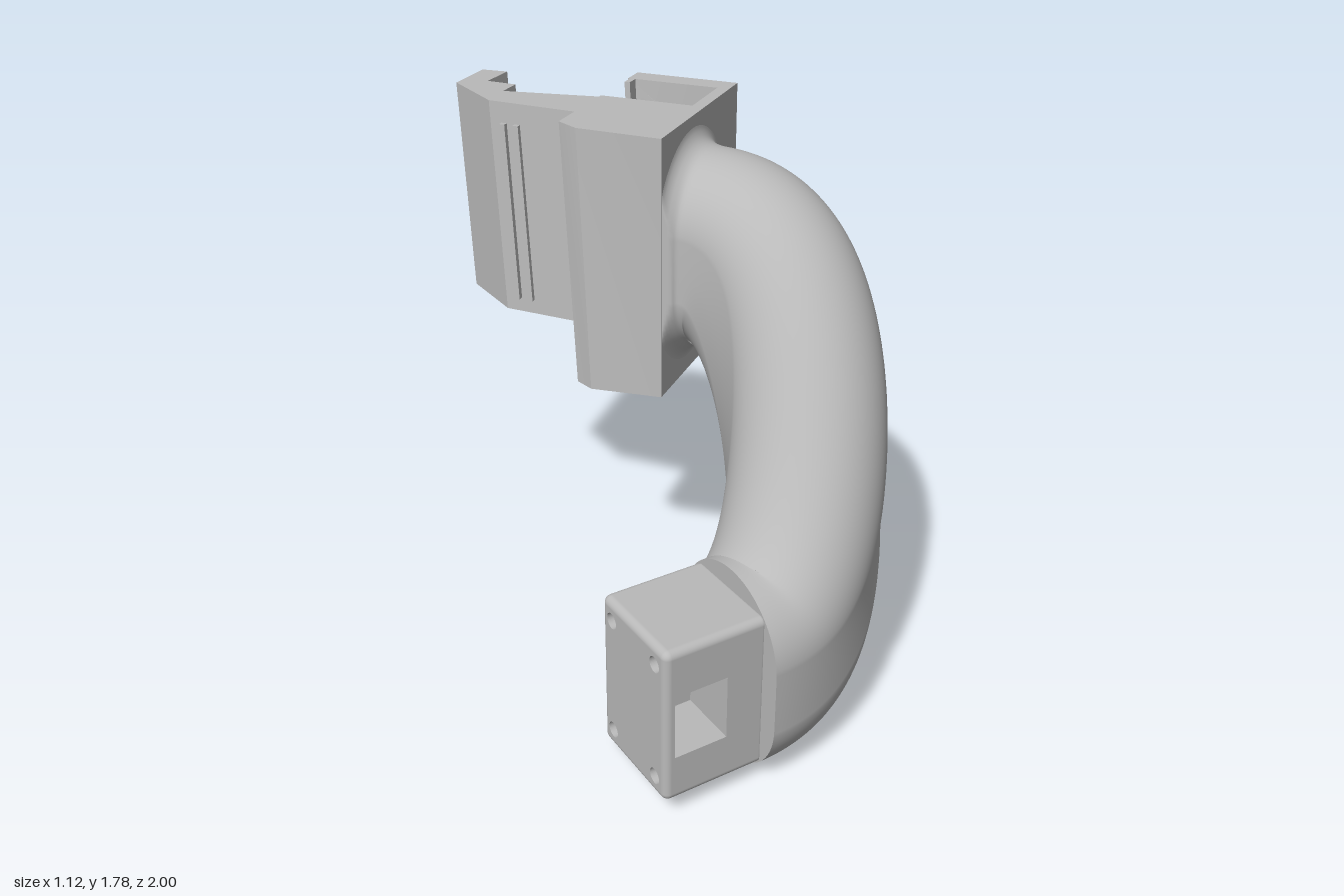
import * as THREE from 'three';
import { toCreasedNormals } from 'three/addons/utils/BufferGeometryUtils.js';
import { RoundedBoxGeometry } from 'three/addons/geometries/RoundedBoxGeometry.js';

const TURN = 0.635; // heading of the clamp end
const TOP = 1.78;

export function createModel() {
  const model = new THREE.Group();
  model.name = 'bentArmMount';
  const grey = new THREE.MeshStandardMaterial({ color: 0xbababa });
  grey.name = 'grey';

  const add = (name, geometry, parent = model) => {
    const mesh = new THREE.Mesh(geometry, grey);
    mesh.name = name;
    parent.add(mesh);
    return mesh;
  };
  const polygon = (pts) => new THREE.Shape(pts.map(([x, y]) => new THREE.Vector2(x, y)));
  const rect = (x0, y0, x1, y1) => polygon([[x0, y0], [x1, y0], [x1, y1], [x0, y1]]);
  const circle = (x, y, r) => new THREE.Path().absarc(x, y, r, 0, Math.PI * 2, true);
  const extrude = (shape, depth) =>
    new THREE.ExtrudeGeometry(shape, { depth, bevelEnabled: false, curveSegments: 24 });

  // ---- Curved tube: stadium section swept round a rising arc ----
  const HALF_W = 0.25, STRAIGHT = 0.09, SIDES = 96, STEPS = 96;
  const ARC_R = 0.53, SWEEP = Math.PI / 2 + TURN, FACE_GAP = 0.033, FILLET = 0.075;
  const section = (t, grow) => [
    (HALF_W + grow) * Math.cos(t),
    (HALF_W + grow) * Math.sin(t) + Math.sign(Math.round(Math.sin(t) * 1e6)) * STRAIGHT,
  ];
  const pos = [], index = [];
  const ring = (s, beyond) => {
    const a = Math.PI / 2 - s * SWEEP;
    const rise = s ** 3 * (6 * s * s - 15 * s + 10);
    const phi = Math.atan(30 * (s * (1 - s)) ** 2 / (ARC_R * SWEEP));
    const n = new THREE.Vector3(Math.cos(a), 0, Math.sin(a));
    const tan = new THREE.Vector3(Math.sin(a) * Math.cos(phi), Math.sin(phi), -Math.cos(a) * Math.cos(phi));
    const up = n.clone().cross(tan);
    const c = new THREE.Vector3(-0.225 + ARC_R * n.x, 0.34 + rise, 0.22 + ARC_R * n.z).addScaledVector(tan, beyond);
    // fillet flare towards the clamp face, trimmed at the edge of the block
    const toFace = (1 - s) * ARC_R * SWEEP + FACE_GAP - beyond;
    const f = THREE.MathUtils.clamp(1 - toFace / FILLET, 0, 1);
    const grow = FILLET * (1 - Math.sqrt(1 - f * f));
    for (let j = 0; j < SIDES; j++) {
      const [u, v] = section(j / SIDES * Math.PI * 2, grow);
      const p = c.clone().addScaledVector(n, Math.max(u, -0.262)).addScaledVector(up, v);
      pos.push(p.x, p.y, p.z);
    }
  };
  for (let i = 0; i <= STEPS; i++) ring(i / STEPS, 0);
  for (const b of [0.01, 0.018, 0.025, 0.03, FACE_GAP]) ring(1, b);
  // small drain hole: leave out a patch of faces low on the outer bend
  const drain = new THREE.Vector3(0.11, 0.14, 0.865), probe = new THREE.Vector3();
  let nearest = 0, best = Infinity;
  for (let k = 0; k < pos.length / 3; k++) {
    const d = probe.fromArray(pos, k * 3).distanceTo(drain);
    if (d < best) { best = d; nearest = k; }
  }
  const holeRing = Math.floor(nearest / SIDES), holeSide = nearest % SIDES;
  const rings = pos.length / 3 / SIDES;
  for (let i = 0; i < rings - 1; i++) {
    for (let j = 0; j < SIDES; j++) {
      if (Math.abs(i - holeRing) <= 1 && Math.abs(j - holeSide) <= 1) continue;
      const a = i * SIDES + j, b = i * SIDES + (j + 1) % SIDES;
      index.push(a, a + SIDES, b, b, a + SIDES, b + SIDES);
    }
  }
  const tube = new THREE.BufferGeometry();
  tube.setAttribute('position', new THREE.Float32BufferAttribute(pos, 3));
  tube.setIndex(index);
  tube.computeVertexNormals();
  add('curvedTube', tube);

  // flat end of the tube around the connector
  const capPts = [];
  for (let j = 0; j < SIDES; j++) capPts.push(section(j / SIDES * Math.PI * 2, 0));
  const cap = add('tubeEndCap', new THREE.ShapeGeometry(polygon(capPts)));
  cap.rotation.y = -Math.PI / 2;
  cap.position.set(-0.225, 0.34, 0.75);

  // ---- Connector plug: rounded shell with pierced panels ----
  const plug = new THREE.Group();
  plug.name = 'connectorPlug';
  plug.position.set(-0.385, 0.34, 0.75);
  model.add(plug);
  const W = 0.36, H = 0.54, D = 0.36, R = 0.025;
  const rounded = new RoundedBoxGeometry(W, H, D, 4, R);
  const shellSource = rounded.index ? rounded.toNonIndexed() : rounded;
  const sp = shellSource.attributes.position, sn = shellSource.attributes.normal;
  const keepP = [], keepN = [];
  for (let i = 0; i < sp.count; i += 3) {
    const tri = [i, i + 1, i + 2];
    const flatZ = tri.every((k) => Math.abs(sp.getZ(k)) > D / 2 - 1e-5);
    const flatX = tri.every((k) => sp.getX(k) < -W / 2 + 1e-5);
    if (flatZ || flatX) continue;
    for (const k of tri) {
      keepP.push(sp.getX(k), sp.getY(k), sp.getZ(k));
      keepN.push(sn.getX(k), sn.getY(k), sn.getZ(k));
    }
  }
  const shell = new THREE.BufferGeometry();
  shell.setAttribute('position', new THREE.Float32BufferAttribute(keepP, 3));
  shell.setAttribute('normal', new THREE.Float32BufferAttribute(keepN, 3));
  add('plugShell', shell, plug);

  const panel = () => rect(-W / 2 + R, -H / 2 + R, W / 2 - R, H / 2 - R);
  const front = panel();
  front.holes.push(rect(-0.145, -0.11, 0.035, 0.11)); // square nut pocket
  add('plugFront', extrude(front, 0.2), plug).position.z = D / 2 - 0.2;
  const rear = panel();
  rear.holes.push(circle(-0.055, 0, 0.064)); // bolt hole
  add('plugRear', toCreasedNormals(extrude(rear, 0.16), 0.6), plug).position.z = -D / 2;
  const end = rect(-D / 2 + R, -H / 2 + R, D / 2 - R, H / 2 - R);
  for (const z of [-1, 1]) for (const y of [-1, 1]) end.holes.push(circle(z * 0.122, y * 0.205, 0.026));
  const endMesh = add('plugScrewFace', extrude(end, R), plug);
  endMesh.rotation.y = -Math.PI / 2;
  endMesh.position.x = -W / 2 + R;

  // ---- Clamp: built square, then turned and leaned back ----
  const clamp = new THREE.Group();
  clamp.name = 'clamp';
  model.add(clamp);
  const place = (name, source) => {
    const g = source.index ? source.toNonIndexed() : source;
    const p = g.attributes.position, c = Math.cos(TURN), s = Math.sin(TURN);
    for (let i = 0; i < p.count; i++) {
      const x = p.getX(i), y = p.getY(i), z = p.getZ(i);
      const lean = 0.089 * (TOP - y) * THREE.MathUtils.clamp(-z / 0.36, 0, 1);
      p.setXYZ(i, x * c + z * s, y, -x * s + z * c + lean);
    }
    g.deleteAttribute('normal');
    g.computeVertexNormals();
    add(name, toCreasedNormals(g, 0.5), clamp);
  };
  const plan = (name, pts, y0, y1) =>
    place(name, extrude(polygon(pts.map(([x, z]) => [x, -z])), y1 - y0).rotateX(-Math.PI / 2).translate(0, y0, 0));
  const box = (name, x0, x1, y0, y1, z0, z1) =>
    place(name, new THREE.BoxGeometry(x1 - x0, y1 - y0, z1 - z0)
      .translate((x0 + x1) / 2, (y0 + y1) / 2, (z0 + z1) / 2));

  // main block, front and rear walls of the open cavity
  plan('clampBody', [[-0.048, 0.013], [0.33, 0.013], [0.33, -0.36], [0.003, -0.36], [-0.042, -0.28]], 0.89, TOP);
  box('cavityFrontWall', 0.33, 0.566, 1.07, TOP, -0.03, 0.013);
  box('cavityRearWall', 0.33, 0.485, 1.07, 1.66, -0.36, -0.23);
  box('cavityPost', 0.4, 0.47, 1.07, 1.6, -0.2, -0.09);
  box('cavityLip', 0.517, 0.566, 1.07, TOP, -0.355, -0.335);

  // underside with a skewed chamfer
  place('clampUnderside', extrude(polygon([[0.2, 0.89], [0.34, 0.89], [0.49, 1.032], [0.566, 1.032], [0.566, 1.07], [0.2, 1.07]]), 0.37)
    .translate(0, 0, -0.358)
    .applyMatrix4(new THREE.Matrix4().makeShear(0, 0, 0, 0, -0.22, 0)));

  // side plate with the oval window
  const side = rect(-0.013, 1.03, 0.362, TOP);
  const oval = new THREE.Path();
  oval.absarc(0.168, 1.452, 0.158, 0, Math.PI, false);
  oval.absarc(0.168, 1.218, 0.158, Math.PI, Math.PI * 2, false);
  oval.closePath();
  side.holes.push(oval);
  place('ovalWindowPlate', extrude(side, 0.085).rotateY(Math.PI / 2).translate(0.566, 0, 0));

  // rear jaw: slotted lower part, and a taller spine with the hooked end
  const outer = [[0.12, -0.35], [0.136, -0.682], [0.29, -0.891], [0.48, -0.89], [0.487, -0.796], [0.35, -0.8], [0.345, -0.69]];
  plan('jawArm', [...outer, [0.485, -0.69], [0.485, -0.35]], 1.05, 1.66);
  plan('jawSpine', [...outer, [0.255, -0.69], [0.315, -0.35]], 1.66, TOP);

  // grip ribs on both sides of the jaw
  for (const z of [-0.485, -0.54]) box('outerRib', 0.48, 0.495, 1.1, 1.65, z - 0.01, z + 0.01);
  for (const z of [-0.58, -0.63]) box('innerRib', 0.115, 0.14, 1.1, 1.71, z - 0.01, z + 0.01);

  return model;
}
